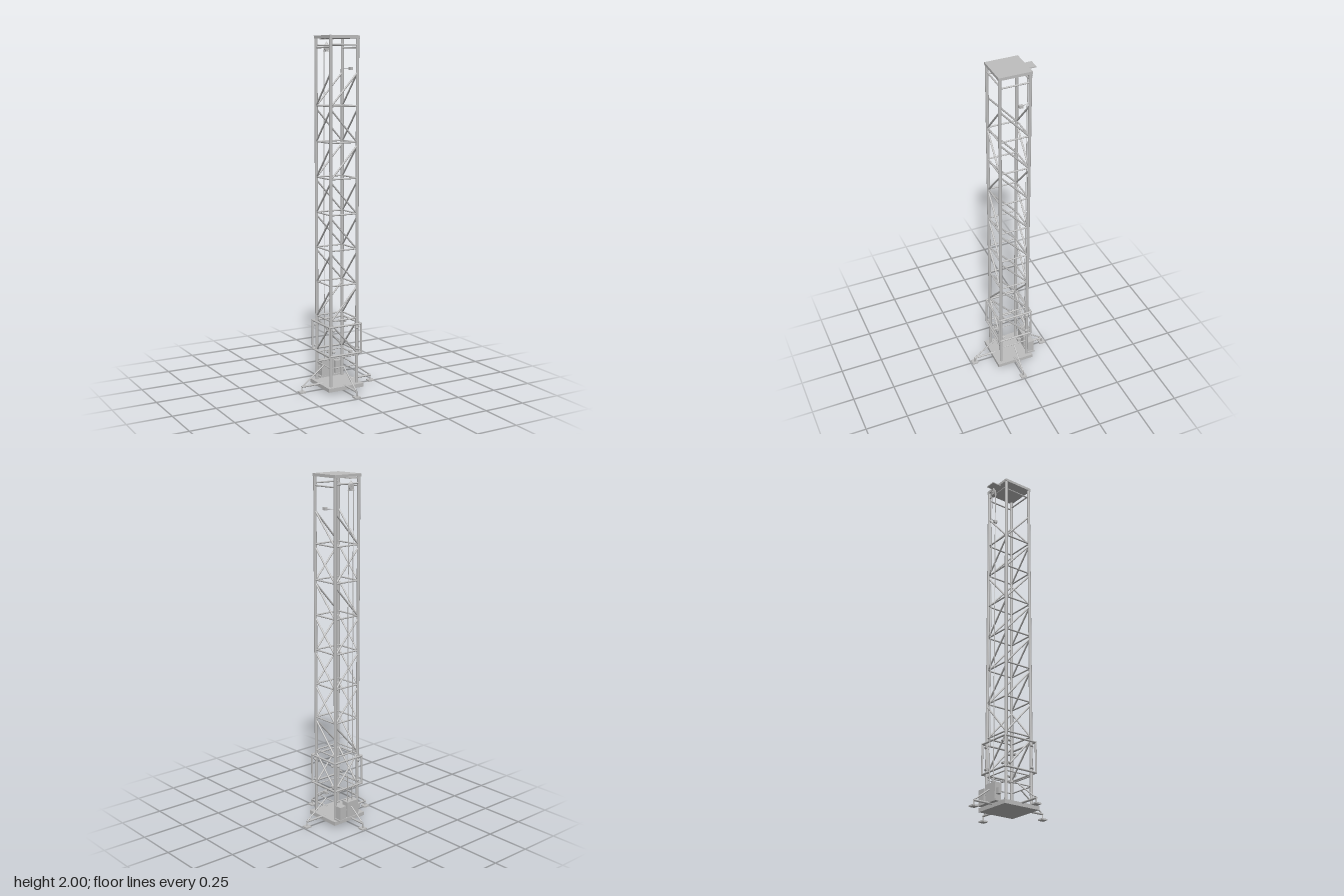
import * as THREE from 'three';

const steel = new THREE.MeshStandardMaterial({ color: 0xbebebe });
steel.name = 'grey steel';

function add(parent, name, geometry, x = 0, y = 0, z = 0) {
  const mesh = new THREE.Mesh(geometry, steel);
  mesh.name = name;
  mesh.position.set(x, y, z);
  parent.add(mesh);
  return mesh;
}

const box = (parent, name, w, h, d, x, y, z) =>
  add(parent, name, new THREE.BoxGeometry(w, h, d), x, y, z);

// Round pipe between two points
function pipe(parent, name, a, b, diameter) {
  const from = new THREE.Vector3(...a), to = new THREE.Vector3(...b);
  const geometry = new THREE.CylinderGeometry(diameter / 2, diameter / 2, from.distanceTo(to), 12);
  const mesh = add(parent, name, geometry);
  mesh.position.copy(from).add(to).multiplyScalar(0.5);
  mesh.quaternion.setFromUnitVectors(new THREE.Vector3(0, 1, 0), to.sub(from).normalize());
  return mesh;
}

// Square ring of four horizontal pipes; x and z members may differ in height
function ring(parent, name, r, yx, diameter, yz = yx) {
  for (const s of [-1, 1]) {
    pipe(parent, name, [-r, yx, s * r], [r, yx, s * r], diameter);
    pipe(parent, name, [s * r, yz, -r], [s * r, yz, r], diameter);
  }
}

function group(parent, name) {
  const g = new THREE.Group();
  g.name = name;
  parent.add(g);
  return g;
}

function buildMast(root) {
  const mast = group(root, 'mast');
  const r = 0.084;
  box(mast, 'basePlate', 0.226, 0.022, 0.226, 0, 0.025, 0);
  box(mast, 'topPlate', 0.186, 0.016, 0.186, 0, 1.992, 0);
  for (const x of [-r, r])
    for (const z of [-r, r]) pipe(mast, 'post', [x, 0.03, z], [x, 1.986, z], 0.018);

  // Horizontal rings
  for (const y of [0.142, 0.2]) ring(mast, 'lowerRing', r, y, 0.007);
  for (let i = 0; i < 7; i++) ring(mast, 'ring', r, 0.417 + 0.2 * i, 0.009);
  ring(mast, 'topRing', r, 1.949, 0.009, 1.935);

  // Diagonals: +1 rises to the left side of the mast, -1 falls
  [-1, 1, -1, -1, -1, 1, -1, 1].forEach((slope, i) => {
    const low = 0.22 + 0.2 * i, high = low + 0.175;
    for (const s of [-1, 1]) {
      pipe(mast, 'diagonal', [-slope * 0.079, low, s * r], [slope * 0.079, high, s * r], 0.01);
      pipe(mast, 'diagonal', [s * r, low, -0.079], [s * r, high, 0.079], 0.01);
    }
  });
}

function buildOutriggers(root) {
  for (let i = 0; i < 4; i++) {
    const leg = group(root, 'outrigger');
    pipe(leg, 'arm', [0.09, 0.035, 0], [0.228, 0.035, 0], 0.012);
    pipe(leg, 'brace', [0.218, 0.042, 0], [0.084, 0.14, 0], 0.008);
    pipe(leg, 'footStem', [0.2265, 0.006, 0], [0.2265, 0.036, 0], 0.007);
    box(leg, 'footPad', 0.036, 0.008, 0.036, 0.2265, 0.004, 0);
    leg.rotation.y = i * Math.PI / 2;
  }
}

function buildCage(root) {
  const cage = group(root, 'slidingCage');
  const r = 0.102;
  for (const y of [0.217, 0.386]) ring(cage, 'cageRail', r, y, 0.011);
  for (const x of [-1, 1])
    for (const z of [-1, 1]) {
      pipe(cage, 'cagePost', [x * r, 0.212, z * r], [x * r, 0.391, z * r], 0.011);
      // Guide rollers against both outer faces of every post
      for (const y of [0.24, 0.363]) {
        pipe(cage, 'roller', [x * 0.097, y, z * 0.067], [x * 0.097, y, z * 0.083], 0.014);
        pipe(cage, 'roller', [x * 0.067, y, z * 0.097], [x * 0.083, y, z * 0.097], 0.014);
      }
    }
}

function buildWinch(root) {
  const winch = group(root, 'winch');
  box(winch, 'winchBase', 0.155, 0.01, 0.047, 0.017, 0.042, -0.111);
  box(winch, 'housing', 0.08, 0.095, 0.042, -0.009, 0.092, -0.109);
  box(winch, 'controlBox', 0.045, 0.078, 0.04, 0.066, 0.084, -0.112);
  box(winch, 'motorCap', 0.024, 0.032, 0.02, -0.059, 0.09, -0.113);
  pipe(winch, 'shaft', [0.02, 0.09, -0.12], [0.06, 0.09, -0.12], 0.008);
}

function buildHoist(root) {
  const hoist = group(root, 'hoist');
  box(hoist, 'headPlate', 0.06, 0.006, 0.06, 0, 1.984, -0.112);
  add(hoist, 'sheaveCap', new THREE.ConeGeometry(0.012, 0.016, 12), 0, 1.962, -0.115);
  pipe(hoist, 'sheave', [0, 1.938, -0.12], [0, 1.938, -0.11], 0.036);
  pipe(hoist, 'sheaveAxle', [0, 1.938, -0.126], [0, 1.938, -0.104], 0.006);
  box(hoist, 'sheaveFoot', 0.03, 0.004, 0.024, 0, 1.918, -0.115);
  for (const s of [-1, 1])
    pipe(hoist, 'cable', [s * 0.0175, 0.13, -0.115], [s * 0.0175, 1.938, -0.115], 0.005);
}

function buildSwitches(root) {
  for (const y of [0.19, 1.82]) {
    const unit = group(root, 'limitSwitch');
    box(unit, 'switchBox', 0.016, 0.016, 0.021, 0.104, y, -0.024);
    pipe(unit, 'switchArm', [0.088, y, -0.083], [0.102, y, -0.03], 0.004);
  }
}

export function createModel() {
  const root = new THREE.Group();
  root.name = 'latticeTower';
  buildMast(root);
  buildOutriggers(root);
  buildCage(root);
  buildWinch(root);
  buildHoist(root);
  buildSwitches(root);
  return root;
}
